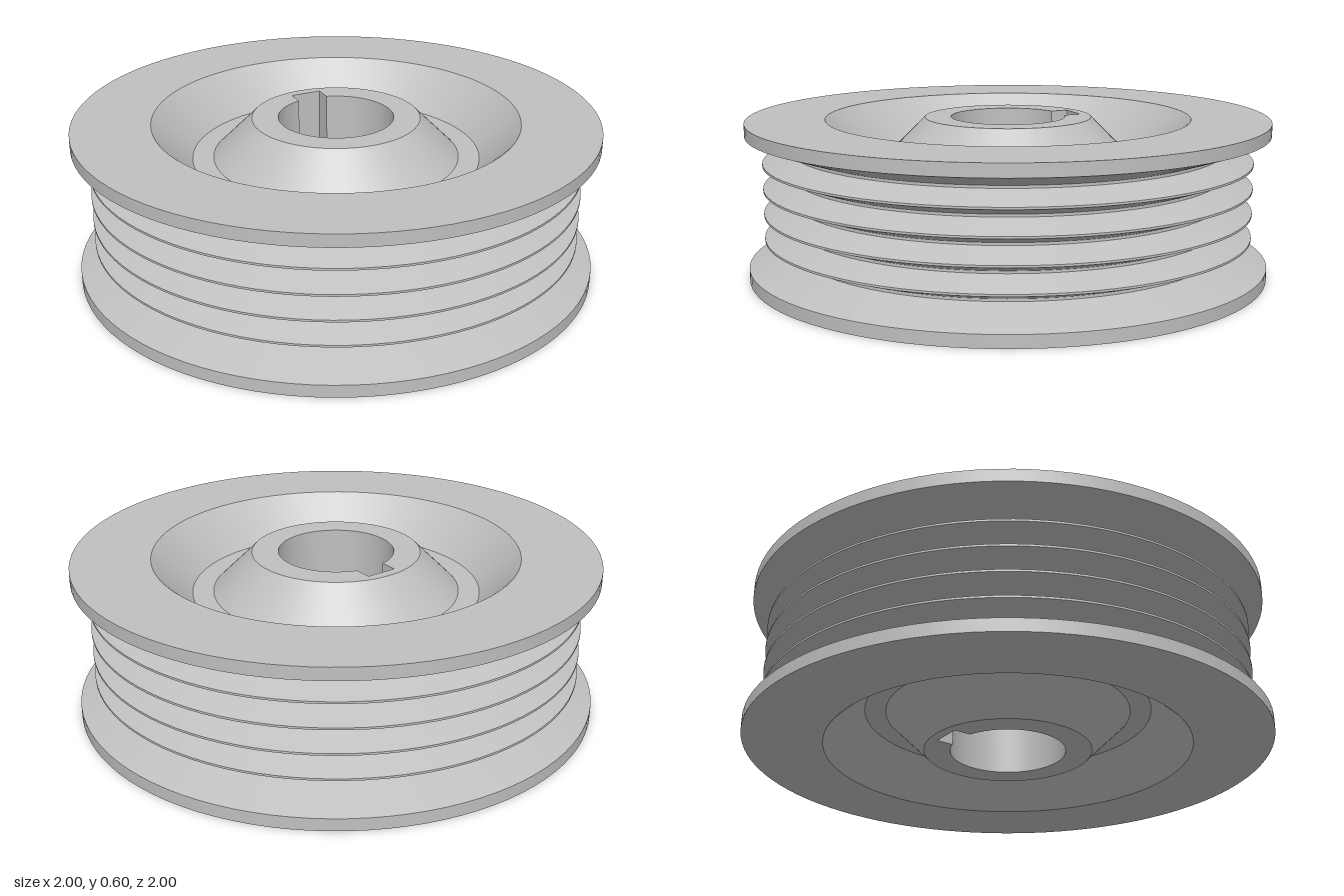
import * as THREE from 'three';
import { toCreasedNormals } from 'three/addons/utils/BufferGeometryUtils.js';

const HEIGHT = 0.6, SEGMENTS = 96, HUB_R = 0.32;

export function createModel() {
  const steel = new THREE.MeshStandardMaterial({ color: 0xc0c0c0 });
  steel.name = 'steel grey';
  const group = new THREE.Group();
  group.name = 'grooved pulley';

  const add = (name, geometry) => {
    const mesh = new THREE.Mesh(toCreasedNormals(geometry, 0.3), steel);
    mesh.name = name;
    group.add(mesh);
  };

  // Lower half of the wheel: hub cone, recess floor, sloped recess wall, rim
  const lower = [[HUB_R, 0], [0.47, 0.15], [0.55, 0.15], [0.7, 0], [1, 0], [1, 0.048]];
  const upper = lower.map(([r, y]) => [r, HEIGHT - y]).reverse();

  // Five V grooves, with a narrow ridge between neighbours
  const pitch = 0.095, valleyR = 0.83, ridgeR = 0.938;
  const grooves = [];
  for (let i = 0; i < 5; i++) {
    const y = HEIGHT / 2 + (i - 2) * pitch;
    grooves.push([valleyR, y - 0.005], [valleyR, y + 0.005]);
    if (i < 4) {
      const peak = y + pitch / 2;
      grooves.push([ridgeR, peak - 0.004], [ridgeR, peak + 0.004]);
    }
  }
  const profile = [...lower, ...grooves, ...upper].map(([r, y]) => new THREE.Vector2(r, y));
  add('wheel', new THREE.LatheGeometry(profile, SEGMENTS));

  // Hub core with a through bore and a rectangular keyway at the back
  const boreR = 0.22, keyHalf = 0.06, keyTop = 0.28;
  const a = Math.acos(keyHalf / boreR);
  const core = new THREE.Shape();
  core.absarc(0, 0, HUB_R, 0, Math.PI * 2, false);
  const bore = new THREE.Path();
  bore.absarc(0, 0, boreR, a, Math.PI - a, true);
  bore.lineTo(-keyHalf, keyTop);
  bore.lineTo(keyHalf, keyTop);
  bore.closePath();
  core.holes.push(bore);
  const hub = new THREE.ExtrudeGeometry(core, {
    depth: HEIGHT, bevelEnabled: false, curveSegments: SEGMENTS / 2,
  });
  hub.rotateX(-Math.PI / 2);
  add('hubCore', hub);

  return group;
}
